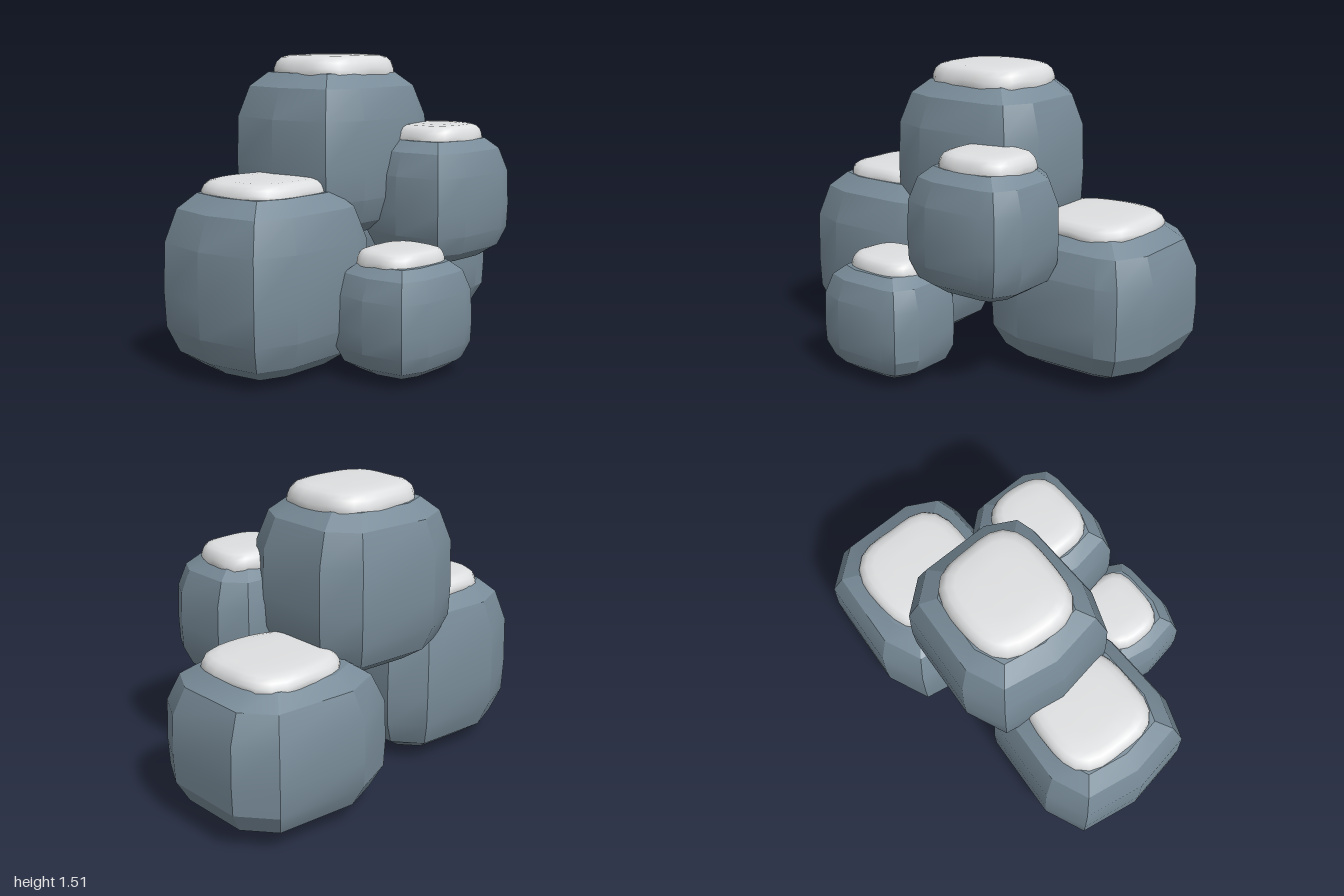
import * as THREE from 'three';
import { toCreasedNormals, mergeVertices } from 'three/addons/utils/BufferGeometryUtils.js';

const stone = new THREE.MeshStandardMaterial({ color: 0x788b98 });
stone.name = 'blue grey stone';
const snow = new THREE.MeshStandardMaterial({ color: 0xdedfe0 });
snow.name = 'snow white';

// Irregular plan outline of a boulder, in units of its half width and depth
const OUTLINE = [
  [-0.88, -0.77], [-0.39, -1], [0.67, -0.93], [0.98, -0.54], [1, 0.48],
  [0.8, 0.9], [0.57, 0.97], [-0.4, 1], [-0.87, 0.82], [-1, 0.02],
];
// Boulder rings from bottom to top: [plan scale, height fraction]
const BOULDER_RINGS = [
  [0.62, 0.035], [0.86, 0.115], [0.985, 0.26], [1, 0.45], [0.985, 0.73], [0.86, 0.915], [0.66, 1],
];
// Snow rings: [plan scale, height fraction]
const SNOW_RINGS = [
  [0.95, -0.5], [1, 0.0], [0.99, 0.3], [0.95, 0.62], [0.87, 0.85], [0.74, 0.96], [0.45, 1],
];

// Skin a stack of rings, closing both ends with a centre point
function skin(rings, bottom, top) {
  const n = rings[0].length;
  const pos = [...rings.flat(), bottom, top].flat();
  const b = rings.length * n;
  const idx = [];
  for (let i = 0; i < n; i++) {
    const j = (i + 1) % n;
    idx.push(b, i, j);
    for (let r = 0; r < rings.length - 1; r++) {
      const lo = r * n, hi = lo + n;
      idx.push(lo + i, hi + i, lo + j, lo + j, hi + i, hi + j);
    }
    idx.push(b - n + i, b + 1, b - n + j);
  }
  const g = new THREE.BufferGeometry();
  g.setAttribute('position', new THREE.Float32BufferAttribute(pos, 3));
  g.setIndex(idx);
  g.computeVertexNormals();
  return g;
}

function boulder([x0, x1], [y0, y1], [z0, z1]) {
  const cx = (x0 + x1) / 2, cz = (z0 + z1) / 2;
  const hx = (x1 - x0) / 2, hz = (z1 - z0) / 2, h = y1 - y0;
  const rings = BOULDER_RINGS.map(([s, t]) =>
    OUTLINE.map(([u, v]) => [cx + u * s * hx, y0 + t * h, cz + v * s * hz]));
  const g = skin(rings, [cx, y0, cz], [cx, y1 + 0.01, cz]);
  return toCreasedNormals(g, 0.42);
}

// Rounded-square snow cushion with a gently wavy lower rim
function snowCap([x0, x1], [z0, z1], base, top) {
  const cx = (x0 + x1) / 2, cz = (z0 + z1) / 2;
  const hx = (x1 - x0) / 2, hz = (z1 - z0) / 2, n = 28;
  const rings = SNOW_RINGS.map(([s, t]) => {
    const ring = [];
    for (let i = 0; i < n; i++) {
      const a = (i / n) * Math.PI * 2;
      const c = Math.cos(a), d = Math.sin(a);
      const r = Math.pow(Math.abs(c) ** 3.2 + Math.abs(d) ** 3.2, -1 / 3.2);
      const lump = 1 + 0.015 * Math.sin(3 * a + cx * 9);
      const wave = 0.009 * Math.sin(6 * a + cz * 7) * (1 - Math.max(t, 0));
      ring.push([cx + c * r * s * hx * lump, base + t * (top - base) + wave, cz + d * r * s * hz * lump]);
    }
    return ring;
  });
  const g = mergeVertices(skin(rings, [cx, base - 0.04, cz], [cx, top, cz]));
  g.computeVertexNormals();
  return g;
}

// Boulder extents, then cap extents and cap base and top heights
const ROCKS = [
  { name: 'leftBoulder', x: [-1, -0.14], y: [0, 0.87], z: [-0.5, 0.29],
    cx: [-0.84, -0.29], cz: [-0.37, 0.15], cy: [0.86, 0.937] },
  { name: 'topBoulder', x: [-0.46, 0.385], y: [0.6, 1.42], z: [-0.57, 0.21],
    cx: [-0.31, 0.255], cz: [-0.43, 0.09], cy: [1.41, 1.507] },
  { name: 'rightBoulder', x: [0.09, 1], y: [0.02, 0.745], z: [-0.7, 0.145],
    cx: [0.28, 0.85], cz: [-0.555, 0.015], cy: [0.735, 0.812] },
  { name: 'smallLowerBoulder', x: [-0.49, 0.1], y: [0.015, 0.55], z: [0.18, 0.7],
    cx: [-0.39, 0.01], cz: [0.25, 0.595], cy: [0.54, 0.617] },
  { name: 'smallUpperBoulder', x: [-0.06, 0.59], y: [0.47, 1.09], z: [-0.02, 0.56],
    cx: [0.06, 0.49], cz: [0.07, 0.46], cy: [1.08, 1.165] },
];

export function createModel() {
  const model = new THREE.Group();
  model.name = 'snowyBoulders';
  for (const r of ROCKS) {
    const group = new THREE.Group();
    group.name = r.name;
    const body = new THREE.Mesh(boulder(r.x, r.y, r.z), stone);
    body.name = 'boulder';
    const cap = new THREE.Mesh(snowCap(r.cx, r.cz, ...r.cy), snow);
    cap.name = 'snowCap';
    group.add(body, cap);
    model.add(group);
  }
  return model;
}
